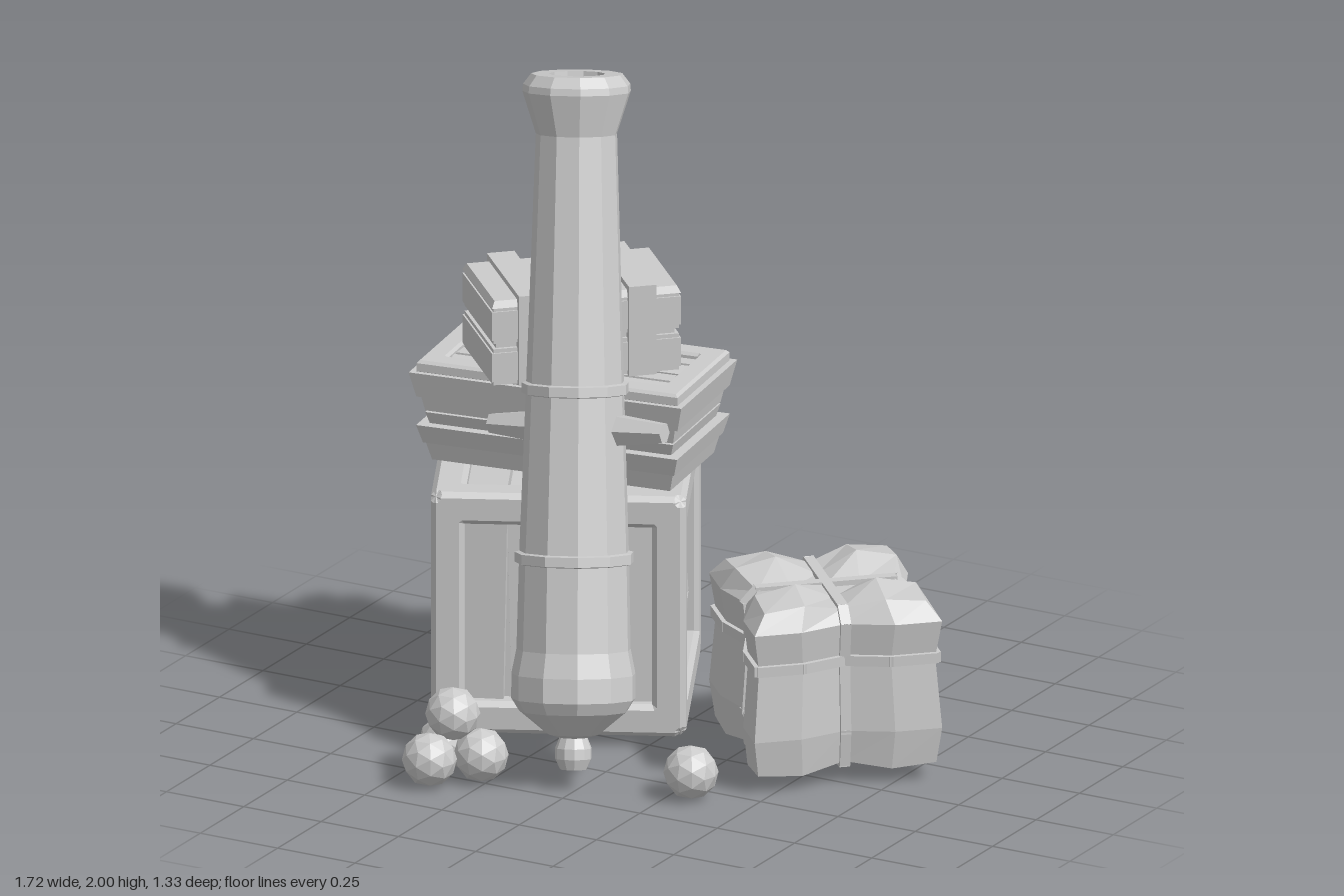
import * as THREE from 'three';

const mat = new THREE.MeshStandardMaterial({ color: 0xcccccc, flatShading: true });
const V = (x, y, z) => new THREE.Vector3(x, y, z);

function add(parent, name, geo, x = 0, y = 0, z = 0) {
  const m = new THREE.Mesh(geo, mat);
  m.name = name;
  m.position.set(x, y, z);
  parent.add(m);
  return m;
}

function group(parent, name, x, y, z, ry = 0) {
  const g = new THREE.Group();
  g.name = name;
  g.position.set(x, y, z);
  g.rotation.y = ry;
  parent.add(g);
  return g;
}

const box = (w, h, d) => new THREE.BoxGeometry(w, h, d);

// Box whose top is a different size from its bottom
function taper(w0, d0, w1, d1, h) {
  const g = box(1, h, 1), p = g.attributes.position;
  for (let i = 0; i < p.count; i++) {
    const up = p.getY(i) > 0;
    p.setX(i, p.getX(i) * (up ? w1 : w0));
    p.setZ(i, p.getZ(i) * (up ? d1 : d0));
  }
  return g;
}

// Rectangular frame with cut corners and bevelled edges, facing +z, front at z = 0
function frame(w, h, border, depth, cut, bevel) {
  const outline = (a, b, c) => [[a - c, -b], [a, -b + c], [a, b - c], [a - c, b], [-a + c, b], [-a, b - c], [-a, -b + c], [-a + c, -b]]
    .map(([x, y]) => new THREE.Vector2(x, y));
  const s = new THREE.Shape(outline(w / 2 - bevel, h / 2 - bevel, cut));
  s.holes.push(new THREE.Path(outline(w / 2 - border, h / 2 - border, 0.008).reverse()));
  const g = new THREE.ExtrudeGeometry(s, { depth: depth - 2 * bevel, bevelSize: bevel, bevelThickness: bevel, bevelSegments: 1 });
  return g.translate(0, 0, bevel - depth);
}

// Large cube crate: six frames with planks set into them
function bigCrate(root) {
  const S = 0.72, g = group(root, 'largeCrate', -0.377, 0.392, -0.19, 0.45);
  add(g, 'crateCore', box(0.6, 0.6, 0.6));
  const turns = [[0, 0, 0], [0, Math.PI, 0], [0, Math.PI / 2, 1], [0, -Math.PI / 2, 1], [-Math.PI / 2, 0, 0], [Math.PI / 2, 0, 0]];
  turns.forEach(([rx, ry, flat], k) => {
    const side = group(g, 'crateSide', 0, 0, 0);
    side.rotation.set(rx, ry, 0);
    add(side, 'crateFrame', frame(S, S, 0.08, 0.07, 0.02, 0.015), 0, 0, S / 2);
    const planks = group(side, 'cratePlanks', 0, 0, 0.31);
    planks.rotation.z = flat ? Math.PI / 2 : 0;
    for (let i = 0; i < 4; i++) {
      const m = add(planks, 'cratePlank', box(0.135, 0.6, 0.03), (i - 1.5) * 0.145, 0, 0);
      m.rotation.set(0, 0.07 * ((i + k) % 2 ? 1 : -1), 0.02 * (((i * 2 + k) % 3) - 1));
    }
  });
}

// Flat crate: flaring boards, ledges and a slatted lid
function flatCrate(root) {
  const g = group(root, 'flatCrate', -0.34, 0, -0.165, 0.14);
  const layers = [
    [0.72, 0.34, 0.75, 0.37, 0.755, 0.815], [0.76, 0.38, 0.79, 0.41, 0.81, 0.865],
    [0.73, 0.35, 0.75, 0.37, 0.865, 0.9], [0.75, 0.37, 0.77, 0.39, 0.905, 0.955],
    [0.79, 0.405, 0.825, 0.435, 0.95, 1.025],
  ];
  for (const [w0, d0, w1, d1, y0, y1] of layers)
    add(g, 'crateBoard', taper(w0, d0, w1, d1, y1 - y0), 0, (y0 + y1) / 2, 0);
  add(g, 'crateInside', box(0.7, 0.25, 0.32), 0, 0.885, 0);
  const rim = add(g, 'lidFrame', frame(0.79, 0.405, 0.06, 0.04, 0, 0.008), 0, 1.058, 0);
  rim.rotation.x = -Math.PI / 2;
  for (let i = 0; i < 4; i++)
    add(g, 'lidSlat', box(0.69, 0.02, 0.062), 0, 1.033, (i - 1.5) * 0.074).rotation.x = i % 2 ? 0.08 : -0.08;
}

// Small box with two bands around it
function smallBox(root) {
  const g = group(root, 'smallBox', -0.33, 0, -0.14, 0.76);
  add(g, 'boxCore', box(0.52, 0.24, 0.31), 0, 1.18, 0);
  for (const y of [1.113, 1.237]) {
    add(g, 'boxBoard', box(0.55, 0.085, 0.34), 0, y, 0);
    add(g, 'boxBoardEdge', box(0.54, 0.108, 0.33), 0, y, 0);
  }
  add(g, 'boxLid', taper(0.55, 0.34, 0.53, 0.32, 0.02), 0, 1.3, 0);
  for (const s of [-1, 1]) add(g, 'boxBand', box(0.08, 0.268, 0.37), s * 0.16, 1.192, 0);
}

// Cloth bale squeezed into lobes by three cords
function bale(root) {
  const g = group(root, 'bale', 0.48, 0, -0.16, Math.PI / 4 - 0.035);
  const heights = [0.03, 0.16, 0.37, 0.48, 0.57], scale = [0.95, 1, 0.94, 1, 0.86];
  const lobe = (t) => [0, 1, 0.55][Math.round(Math.abs(t) * 2)];
  const shape = (tx, ty, tz) => {
    const row = Math.round((ty + 1) * 2), l = lobe(tx) * lobe(tz);
    let y = heights[row];
    if (row === 4) y -= 0.055 * (1 - l);
    if (row === 0) y += 0.035 * (1 - l);
    const wide = (t) => (0.23 + 0.042 * Math.min(1, Math.abs(t) * 2)) * scale[row];
    return V(tx * wide(tz), y, tz * wide(tx));
  };
  const geo = new THREE.BoxGeometry(2, 2, 2, 4, 4, 4), p = geo.attributes.position;
  for (let i = 0; i < p.count; i++) {
    const v = shape(p.getX(i), p.getY(i), p.getZ(i));
    p.setXYZ(i, v.x, v.y, v.z);
  }
  add(g, 'baleCloth', geo);

  // Cords follow the pinched lines of the cloth
  const cord = (map) => {
    const walk = [];
    for (let k = 0; k < 4; k++)
      for (let i = 0; i < 4; i++) {
        const t = -1 + i / 2;
        walk.push([[t, -1], [1, t], [-t, 1], [-1, -t]][k]);
      }
    const pts = walk.map(([a, b]) => map(a, b));
    pts.forEach((a, i) => {
      const b = pts[(i + 1) % pts.length];
      const m = add(g, 'baleCord', box(0.03, 0.03, a.distanceTo(b) + 0.015));
      m.position.copy(a).lerp(b, 0.5);
      m.quaternion.setFromUnitVectors(V(0, 0, 1), b.clone().sub(a).normalize());
    });
  };
  cord((a, b) => shape(a, b, 0));
  cord((a, b) => shape(0, b, a));
  cord((a, b) => shape(a, 0, b));
}

// Cannon barrel leaning back on the crates
function cannon(root) {
  const foot = V(-0.01, 0.06, 0.42), axis = V(-0.235, 1.915, -0.44).normalize();
  const g = group(root, 'cannon', foot.x, foot.y, foot.z);
  g.quaternion.setFromUnitVectors(V(0, 1, 0), axis);
  const profile = [[0, 0], [0.038, 0], [0.052, 0.03], [0.052, 0.06], [0.04, 0.09], [0.075, 0.1], [0.155, 0.165], [0.177, 0.2],
    [0.177, 0.27], [0.163, 0.34], [0.157, 0.6], [0.14, 1.08], [0.116, 1.8], [0.155, 1.92], [0.153, 1.94],
    [0.13, 1.97], [0.08, 1.97], [0.075, 1.6], [0, 1.6]];
  add(g, 'barrel', new THREE.LatheGeometry(profile.map(([r, y]) => new THREE.Vector2(r, y)), 11));
  for (const [y, r] of [[0.6, 0.157], [1.08, 0.14]]) {
    const ring = [[r - 0.01, -0.02], [r + 0.013, -0.014], [r + 0.013, 0.014], [r - 0.01, 0.02]];
    add(g, 'barrelRing', new THREE.LatheGeometry(ring.map(([a, b]) => new THREE.Vector2(a, b)), 11), 0, y, 0);
  }
  for (const s of [-1, 1])
    add(g, 'trunnion', new THREE.CylinderGeometry(0.03, 0.055, 0.2, 6), s * 0.18, 0.965, -0.015).rotation.z = -s * Math.PI / 2;
}

export function createModel() {
  const root = new THREE.Group();
  root.name = 'cannonAndCargo';
  bigCrate(root);
  flatCrate(root);
  smallBox(root);
  bale(root);
  cannon(root);
  // Cannonballs: a small pile and a stray one
  const balls = [[-0.41, 0.08, 0.44], [-0.272, 0.08, 0.485], [-0.38, 0.08, 0.59], [-0.355, 0.193, 0.5], [0.314, 0.08, 0.32]];
  for (const [x, y, z] of balls) add(root, 'cannonball', new THREE.IcosahedronGeometry(0.078, 1), x, y - 0.002, z);
  return root;
}
